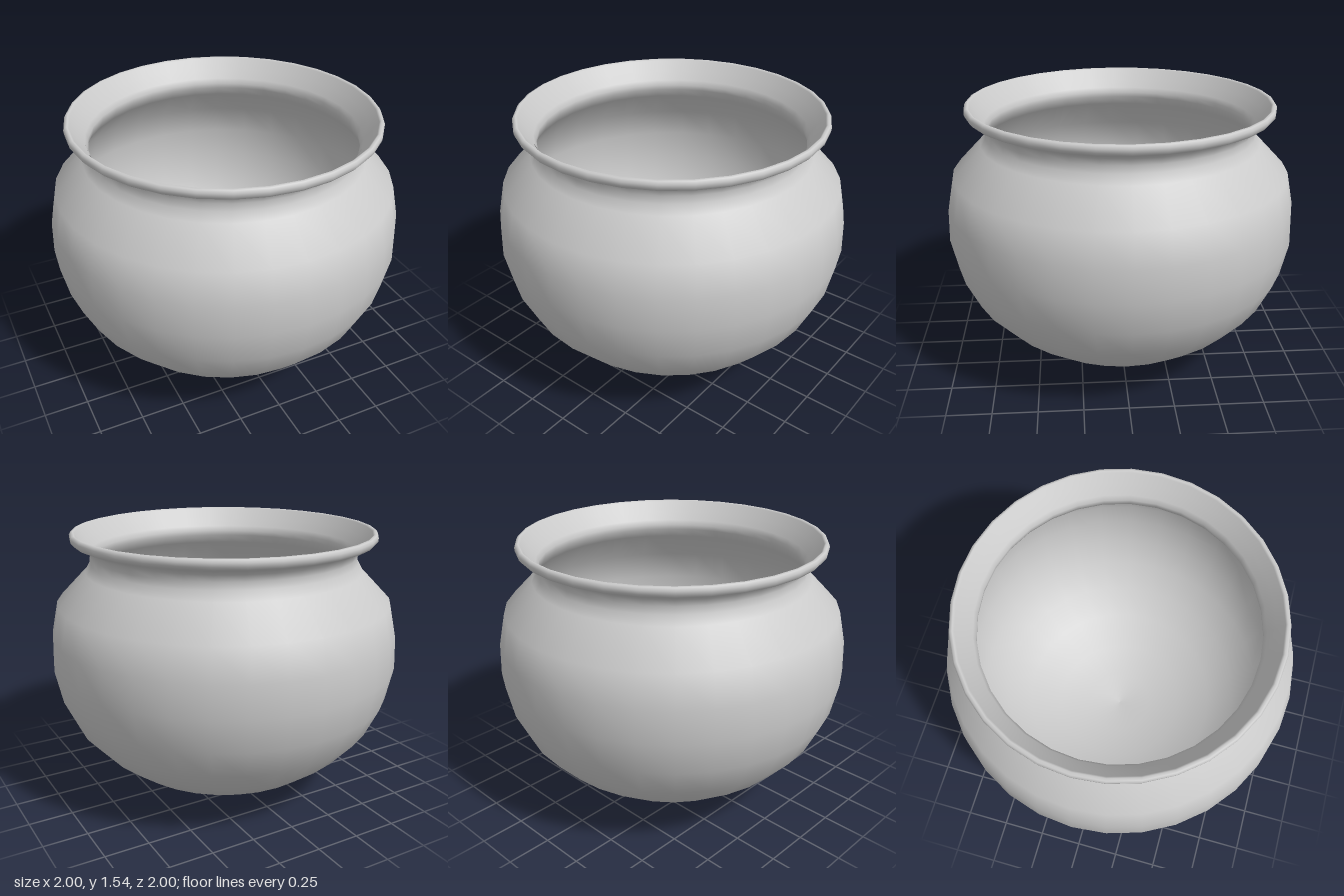
import * as THREE from 'three';

const SEGMENTS = 32;
const toPoints = (pairs) => pairs.map(([r, y]) => new THREE.Vector2(r, y));

// Outer belly, from the base up to the neck
const outer = [
  [0, 0], [0.2, 0.025], [0.4, 0.08], [0.6, 0.17], [0.75, 0.285], [0.88, 0.43],
  [0.96, 0.6], [1, 0.79], [0.993, 0.97], [0.955, 1.15], [0.79, 1.32], [0.762, 1.37], [0.757, 1.41],
];

// Rounded lip, from the neck over the edge
const lip = [
  [0.757, 1.41], [0.767, 1.447], [0.8, 1.47], [0.85, 1.488], [0.864, 1.505],
  [0.866, 1.525], [0.858, 1.54], [0.845, 1.543], [0.835, 1.535],
];

// Inner wall, from the lip down to the floor
const inner = [
  [0.835, 1.535], [0.8, 1.48], [0.762, 1.43], [0.748, 1.4], [0.752, 1.37], [0.775, 1.32], [0.938, 1.145],
  [0.975, 0.97], [0.98, 0.79], [0.942, 0.605], [0.863, 0.44], [0.737, 0.3],
  [0.59, 0.187], [0.394, 0.098], [0.197, 0.044], [0, 0.02],
];

export function createModel() {
  const group = new THREE.Group();
  group.name = 'pot';
  const material = new THREE.MeshStandardMaterial({ color: 0xcccccc });

  // One continuous turned shell keeps the shading smooth
  const profile = toPoints([...outer, ...lip.slice(1), ...inner.slice(1)]);
  const shell = new THREE.Mesh(new THREE.LatheGeometry(profile, SEGMENTS), material);
  shell.name = 'potShell';
  group.add(shell);
  return group;
}
